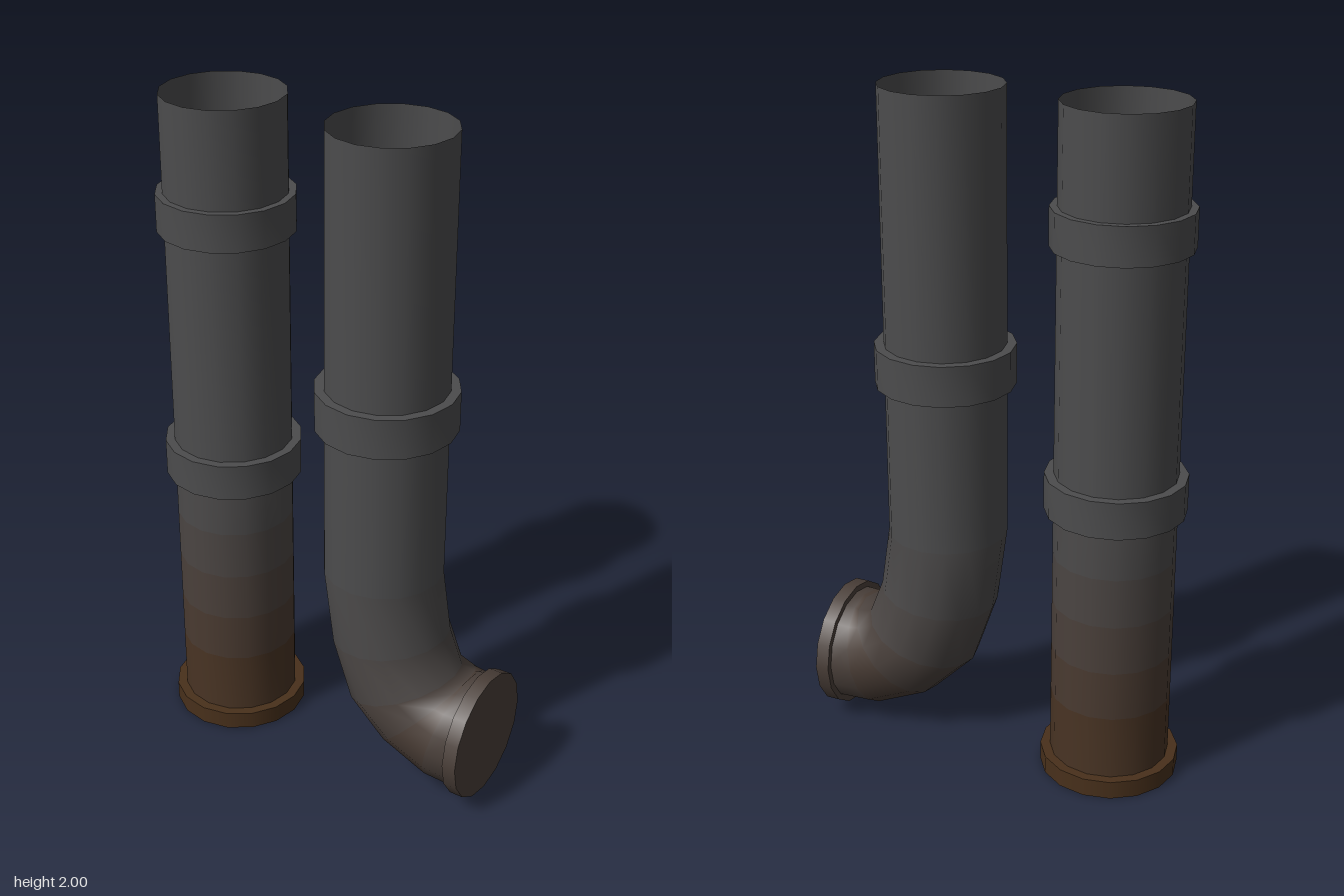
import * as THREE from 'three';
import { toCreasedNormals } from 'three/addons/utils/BufferGeometryUtils.js';

const SIDES = 16;
const R = 0.177;
const GREY = new THREE.Color(0x4c4c4d);
const RUST = new THREE.Color(0x48301b);

// Dark grey metal, turning to rust towards the ground
function metal(rust) {
  return new THREE.MeshStandardMaterial({
    color: GREY.clone().lerp(RUST, rust),
    side: THREE.DoubleSide,
  });
}

// Open tube through sections [x, y, tilt in degrees, rust of the band below]
function pipe(name, sections) {
  const pos = [], index = [], materials = [];
  const geo = new THREE.BufferGeometry();
  sections.forEach(([x, y, tilt, rust], s) => {
    const t = THREE.MathUtils.degToRad(tilt);
    for (let i = 0; i < SIDES; i++) {
      const a = (i / SIDES) * Math.PI * 2;
      const u = Math.cos(a) * R;
      pos.push(x + u * Math.cos(t), y + u * Math.sin(t), Math.sin(a) * R);
    }
    if (s === sections.length - 1) return;
    geo.addGroup(index.length, SIDES * 6, s);
    materials.push(metal(rust));
    for (let i = 0; i < SIDES; i++) {
      const a = s * SIDES + i, b = s * SIDES + ((i + 1) % SIDES);
      index.push(a, b, a + SIDES, b, b + SIDES, a + SIDES);
    }
  });
  geo.setAttribute('position', new THREE.Float32BufferAttribute(pos, 3));
  geo.setIndex(index);
  geo.computeVertexNormals();
  const mesh = new THREE.Mesh(geo, materials);
  mesh.name = name;
  return mesh;
}

// Hollow collar around a vertical pipe
function collar(name, x, y0, y1, radius, rust) {
  const inner = R - 0.003;
  const profile = [[inner, y0], [radius, y0], [radius, y1], [inner, y1]]
    .map(([r, y]) => new THREE.Vector2(r, y));
  const mesh = new THREE.Mesh(
    toCreasedNormals(new THREE.LatheGeometry(profile, SIDES), 0.6), metal(rust));
  mesh.position.x = x;
  mesh.name = name;
  return mesh;
}

// Solid end cap
function cap(name, radius, height, rust) {
  const mesh = new THREE.Mesh(
    new THREE.CylinderGeometry(radius, radius, height, SIDES), metal(rust));
  mesh.name = name;
  return mesh;
}

export function createModel() {
  const model = new THREE.Group();

  // Straight pipe, open at the top
  const straight = new THREE.Group();
  straight.name = 'straightPipe';
  const x = -0.346;
  const base = cap('baseCap', 0.206, 0.055, 1);
  base.position.set(x, 0.0275, 0);
  straight.add(
    pipe('straightTube', [
      [x, 2, 0, 0], [x, 0.85, 0, 0.1], [x, 0.7, 0, 0.3], [x, 0.55, 0, 0.5],
      [x, 0.4, 0, 0.7], [x, 0.25, 0, 0.9], [x, 0.03, 0, 0],
    ]),
    collar('upperCollar', x, 1.61, 1.72, 0.198, 0),
    collar('middleCollar', x, 0.84, 0.95, 0.204, 0),
    base,
  );

  // Bent pipe, turning towards +x near the ground
  const bent = new THREE.Group();
  bent.name = 'bentPipe';
  const flange = cap('outletCap', 0.195, 0.042, 0.55);
  flange.rotation.z = -Math.PI / 2;
  flange.position.set(0.529, 0.203, 0);
  bent.add(
    pipe('bentTube', [
      [0.186, 2, 0, 0], [0.184, 0.67, 0, 0.1], [0.215, 0.455, 8, 0.25],
      [0.27, 0.305, 22, 0.45], [0.353, 0.24, 47, 0.6], [0.44, 0.205, 77, 0.5],
      [0.52, 0.203, 90, 0],
    ]),
    collar('bentCollar', 0.185, 1.14, 1.26, 0.205, 0),
    flange,
  );

  model.add(straight, bent);
  return model;
}
